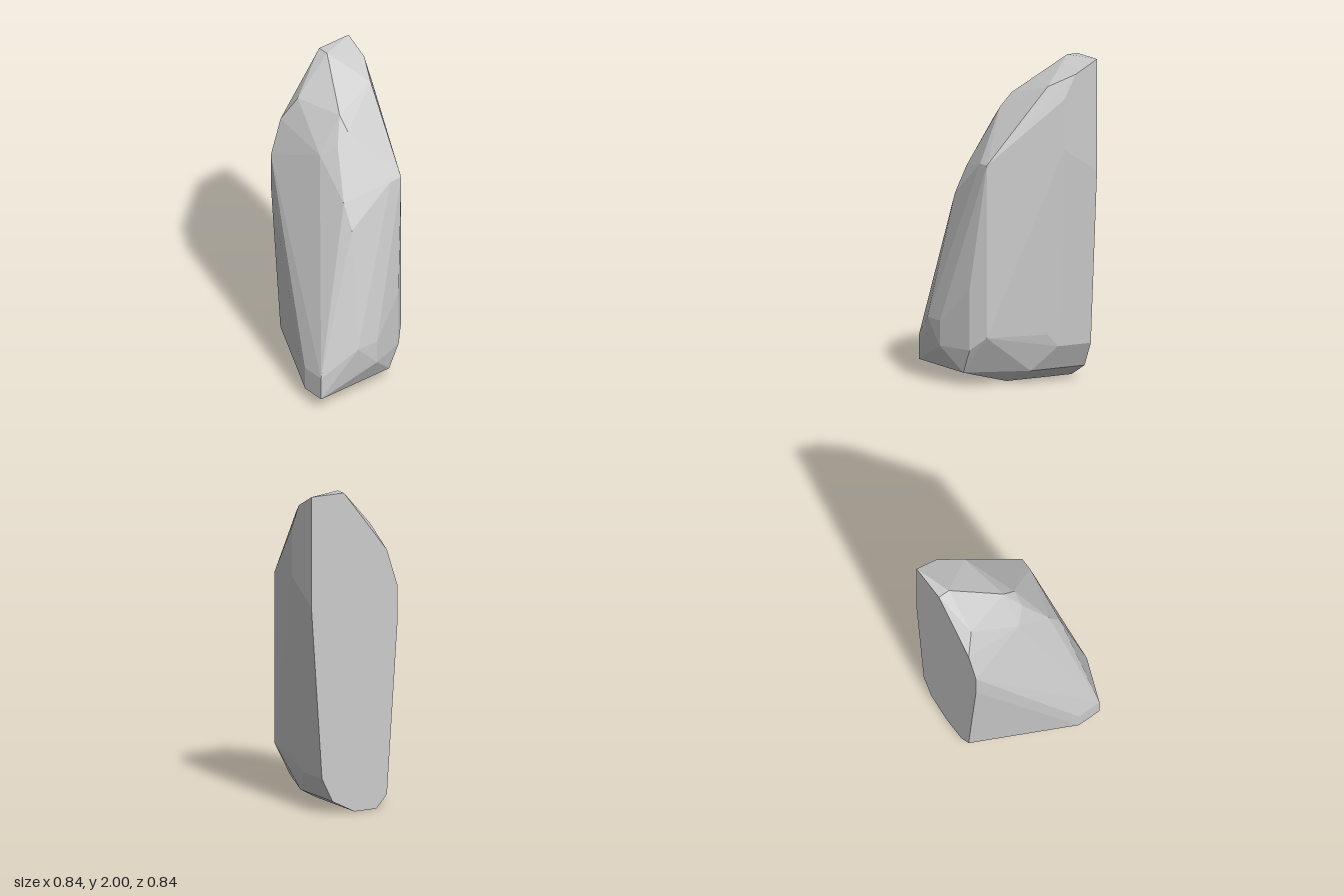
import * as THREE from 'three';
import { ConvexGeometry } from 'three/addons/geometries/ConvexGeometry.js';

// Flat cut side: outline as [z, y] in the plane x = -0.42
const cutFace = [
  [-0.42, 2], [-0.19, 2], [0.115, 1.61], [0.19, 1.38], [0.19, 1.15], [0.115, 0.08],
  [0.04, 0], [-0.115, 0], [-0.27, 0.08], [-0.345, 0.23], [-0.42, 1.31],
].map(([z, y]) => [-0.42, y, z]);

// Sloping peak and shoulders
const peak = [
  [-0.345, 2, -0.19], [-0.27, 1.92, -0.42], [-0.19, 1.77, -0.42], [-0.115, 1.845, -0.345],
  [-0.345, 1.77, 0.04], [-0.04, 1.77, -0.04], [0.04, 1.69, -0.04], [0.04, 1.61, 0.04],
  [-0.04, 1.54, 0.115], [0.19, 1.31, 0.115], [0.27, 1.15, 0.115],
  [0.27, 1.38, -0.19], [0.27, 1.38, -0.27],
];

// Rounded flank and back
const flank = [
  [0.42, 0.385, 0.19], [0.42, 0.385, 0.04], [0.42, 0.23, 0.04],
  [0.345, 0.61, -0.19], [0.345, 0.23, -0.19], [0.27, 0.31, -0.27],
  [-0.19, 1.46, -0.42], [-0.115, 0.31, -0.345], [-0.19, 0.23, -0.345],
];

// Front foot and underside
const foot = [
  [0.345, 0.23, 0.42], [0.19, 0.23, 0.42], [0.345, 0.08, 0.42], [0.19, 0.08, 0.42],
  [0.345, 0.08, -0.115], [-0.04, 0.08, -0.27], [0.04, 0, 0.115], [0.04, 0, -0.115],
];

export function createModel() {
  const group = new THREE.Group();
  const corners = [...cutFace, ...peak, ...flank, ...foot].map((p) => new THREE.Vector3(...p));
  const rock = new THREE.Mesh(
    new ConvexGeometry(corners),
    new THREE.MeshStandardMaterial({ color: 0xcccccc, flatShading: true }),
  );
  rock.name = 'rock';
  group.add(rock);
  return group;
}
